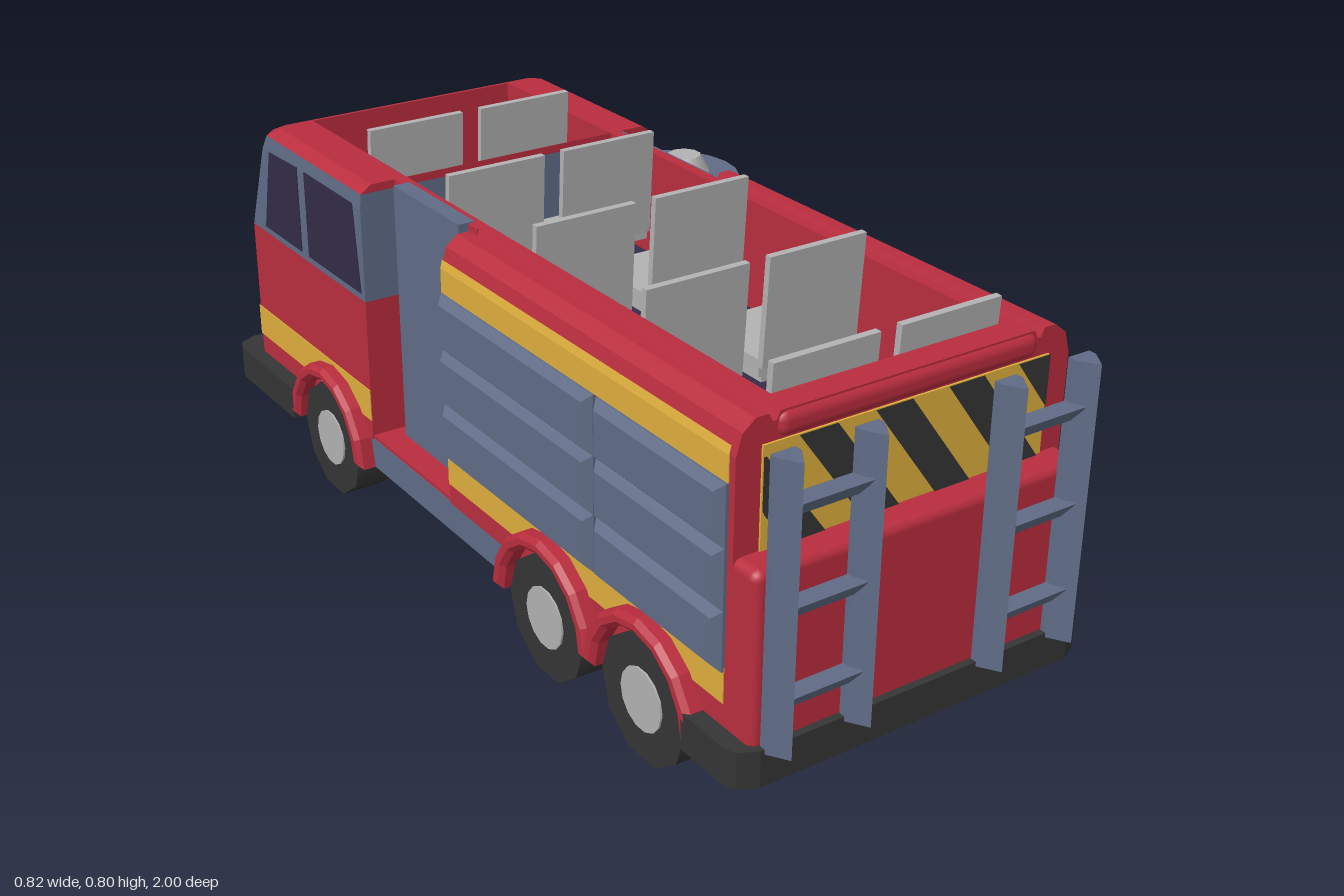
import * as THREE from 'three';
import { RoundedBoxGeometry } from 'three/addons/geometries/RoundedBoxGeometry.js';
import { toCreasedNormals } from 'three/addons/utils/BufferGeometryUtils.js';

const paint = (name, color) => {
  const m = new THREE.MeshStandardMaterial({ color });
  m.name = name;
  return m;
};
const V2 = (pts) => pts.map(([x, y]) => new THREE.Vector2(x, y));

export function createModel() {
  const red = paint('red', 0xb92d3e), yellow = paint('yellow', 0xdfaf3d);
  const steel = paint('steelBlue', 0x606c86), black = paint('black', 0x353535);
  const glass = paint('darkPurple', 0x342c47), silver = paint('silver', 0xb2b2b2);
  const canvas = paint('hoseCanvas', 0xdcc8a2);

  const truck = new THREE.Group();
  truck.name = 'fireTruck';
  const root = new THREE.Group();
  root.name = 'truckParts';
  root.position.x = -0.02;
  truck.add(root);

  const add = (name, geo, mat, x = 0, y = 0, z = 0) => {
    const m = new THREE.Mesh(geo, mat);
    m.name = name;
    m.position.set(x, y, z);
    root.add(m);
    return m;
  };
  // box given by its limits
  const box = (name, mat, x0, x1, y0, y1, z0, z1, r = 0) => add(name,
    r ? new RoundedBoxGeometry(x1 - x0, y1 - y0, z1 - z0, 2, r) : new THREE.BoxGeometry(x1 - x0, y1 - y0, z1 - z0),
    mat, (x0 + x1) / 2, (y0 + y1) / 2, (z0 + z1) / 2);
  const extrude = (pts, depth, bevel = 0) => new THREE.ExtrudeGeometry(new THREE.Shape(V2(pts)), {
    depth, bevelEnabled: bevel > 0, bevelSize: bevel, bevelThickness: bevel, bevelOffset: -bevel, bevelSegments: 1,
  });
  // [z, y] outline extruded sideways, outward from x
  const sidePanel = (name, mat, side, x, pts, depth, bevel = 0) => {
    const g = extrude(pts.map(([z, y]) => [-side * z, y]), depth, bevel);
    return add(name, g.rotateY(side * Math.PI / 2), mat, side * x);
  };
  const rect = (a, b, c, d) => [[a, c], [b, c], [b, d], [a, d]];
  // [x, z] outline raised upward
  const slab = (name, mat, pts, y0, y1) =>
    add(name, extrude(pts.map(([x, z]) => [x, -z]), y1 - y0).rotateX(-Math.PI / 2), mat, 0, y0);
  // triangles from quads, with flat normals
  const quads = (list) => {
    const p = [];
    for (const [a, b, c, d] of list) p.push(...a, ...b, ...c, ...a, ...c, ...d);
    const g = new THREE.BufferGeometry();
    g.setAttribute('position', new THREE.Float32BufferAttribute(p, 3));
    g.computeVertexNormals();
    return g;
  };
  const loft = (rings) => {
    const list = [];
    for (let k = 0; k + 1 < rings.length; k++) {
      const lo = rings[k], hi = rings[k + 1], n = lo.length;
      for (let i = 0; i < n; i++) list.push([lo[i], lo[(i + 1) % n], hi[(i + 1) % n], hi[i]]);
    }
    return quads(list);
  };

  // ---- Rear body: side walls with a grooved top, rear wall, rear locker ----
  const wall = [[0.247, 0.185], [0.355, 0.185], [0.355, 0.69], [0.343, 0.73], [0.318, 0.75], [0.292, 0.75],
    [0.285, 0.735], [0.277, 0.735], [0.27, 0.75], [0.247, 0.75]];
  for (const s of [-1, 1]) {
    add('rearSideWall', extrude(wall.map(([x, y]) => [s * x, y]), 0.925), red, 0, 0, -0.04);
    box('middleWall', red, s < 0 ? -0.275 : 0.247, s < 0 ? -0.247 : 0.27, 0.185, 0.75, -0.37, -0.04);
  }
  sidePanel('leftRecessPanel', steel, -1, 0.26, rect(-0.335, -0.075, 0.195, 0.752), 0.036);
  sidePanel('rightRecessPanel', steel, 1, 0.265, rect(-0.369, -0.041, 0.195, 0.749), 0.011);
  box('rearWall', red, -0.25, 0.25, 0.185, 0.75, 0.83, 0.885);
  box('rearLocker', red, -0.355, 0.355, 0.16, 0.51, 0.8, 0.945, 0.018);
  box('rearRoofBar', red, -0.277, 0.277, 0.7, 0.749, 0.84, 0.895, 0.02);

  // ---- Cab ----
  const ring = (y, hw, zf, c) => [[hw, -0.37], [hw, zf + c], [hw - c, zf], [c - hw, zf], [-hw, zf + c], [-hw, -0.37]]
    .map(([x, z]) => [x, y, z]);
  const cabTop = ring(0.75, 0.328, -0.805, 0.02), eaves = ring(0.733, 0.352, -0.84, 0.03);
  add('cabLower', loft([ring(0.185, 0.355, -0.935, 0.025), ring(0.5, 0.355, -0.935, 0.025)]), red);
  add('cabWindowFrame', loft([ring(0.5, 0.355, -0.935, 0.025), ring(0.7, 0.355, -0.865, 0.035), eaves]), steel);
  add('cabRoofEdge', loft([eaves, cabTop]), red);
  const roof = new THREE.Shape(V2(cabTop.map(([x, , z]) => [x, -z])));
  roof.holes.push(new THREE.Path(V2([[-0.247, 0.371], [-0.247, 0.8], [0.247, 0.8], [0.247, 0.371]])));
  add('cabRoof', new THREE.ShapeGeometry(roof).rotateX(-Math.PI / 2), red, 0, 0.75);
  box('cabInnerFront', red, -0.26, 0.26, 0.5, 0.749, -0.804, -0.8);
  const windshieldZ = (y) => -0.938 + (y - 0.5) * 0.35;
  for (const s of [-1, 1]) {
    box('cabInnerSide', red, s < 0 ? -0.26 : 0.247, s < 0 ? -0.247 : 0.26, 0.45, 0.749, -0.8, -0.37);
    sidePanel('doorWindow', glass, s, 0.353, [[-0.385, 0.515], [-0.625, 0.515], [-0.625, 0.705], [-0.405, 0.705]], 0.004);
    sidePanel('quarterWindow', glass, s, 0.353, [[-0.66, 0.515], [-0.84, 0.515], [-0.795, 0.7], [-0.66, 0.705]], 0.004);
    const [x0, x1] = s < 0 ? [-0.32, -0.022] : [0.022, 0.32];
    const at = (x, y) => [x, y, windshieldZ(y)];
    add('windshield', quads([[at(x0, 0.515), at(x0, 0.69), at(x1, 0.69), at(x1, 0.515)]]), glass);
    // stacked headlights
    for (const y of [0.242, 0.319])
      box('headlight', yellow, s * 0.265 - 0.045, s * 0.265 + 0.045, y, y + 0.074, -0.968, -0.92, 0.014);
  }
  for (const y of [0.24, 0.313, 0.386]) box('grilleBar', glass, -0.185, 0.185, y, y + 0.055, -0.941, -0.932);

  // ---- Side stripes, shutters, wheel arches, wheels ----
  const arch = [];
  for (let i = 0; i <= 8; i++) arch.push([Math.cos(i * Math.PI / 8) * 0.17, Math.sin(i * Math.PI / 8) * 0.172]);
  for (let i = 8; i >= 0; i--) arch.push([Math.cos(i * Math.PI / 8) * 0.134, Math.sin(i * Math.PI / 8) * 0.14]);
  // tire is tread and outer face only, open towards the axle
  const tire = toCreasedNormals(new THREE.LatheGeometry(
    V2([[0.127, -0.045], [0.127, 0.045], [0.055, 0.045]]), 10).rotateZ(-Math.PI / 2), 0.8);
  const hub = new THREE.CylinderGeometry(0.062, 0.062, 0.012, 14).rotateZ(Math.PI / 2);
  for (const s of [-1, 1]) {
    sidePanel('upperStripe', yellow, s, 0.353, rect(-0.04, 0.87, 0.64, 0.69), 0.004);
    // upper edge of the stripe follows the sloping shoulder
    const slope = [[0.3565, 0.69], [0.3525, 0.706]].map(([x, y]) => [[s * x, y, -0.04], [s * x, y, 0.87]]);
    const [[a, b], [d, c]] = slope;
    add('upperStripeEdge', quads([s > 0 ? [b, a, d, c] : [a, b, c, d]]), yellow);
    sidePanel('lowerStripe', yellow, s, 0.353, rect(-0.04, 0.87, 0.23, 0.3), 0.004);
    sidePanel('cabStripe', yellow, s, 0.353, rect(-0.37, -0.912, 0.23, 0.3), 0.004);
    for (const [z0, z1] of [[-0.035, 0.49], [0.5, 0.87]])
      for (let i = 0; i < 3; i++)
        sidePanel('lockerShutter', steel, s, 0.355, rect(z0, z1, 0.292 + i * 0.116, 0.408 + i * 0.116), 0.006, 0.015);
    for (const z of [0.657, 0.34, -0.54]) {
      sidePanel('wheelArch', red, s, 0.35, arch.map(([p, q]) => [p, q + 0.12]), 0.03, 0.01).position.z = z;
      add('tire', tire, black, s * 0.325, 0.121, z).rotation.y = s > 0 ? 0 : Math.PI;
      add('wheelHub', hub, silver, s * 0.368, 0.123, z);
    }
  }

  // ---- Bumpers (hollow rims under a plate) and underside ----
  const bumper = (zIn, zOut, c, hw) => {
    const d = Math.sign(zOut) * c;
    return [[-hw, zIn], [-hw, zOut - d], [-hw + c * 0.2, zOut - d * 0.4], [c - hw, zOut],
      [hw - c, zOut], [hw - c * 0.2, zOut - d * 0.4], [hw, zOut - d], [hw, zIn]];
  };
  for (const [name, zIn, zOut, c] of [['frontBumper', -0.69, -1, 0.05], ['rearBumper', 0.79, 0.96, 0.045]]) {
    const outer = bumper(zIn, zOut, c, 0.39);
    const inner = bumper(zIn, zOut - Math.sign(zOut) * 0.02, c, 0.37);
    slab(name + 'Rim', black, [...outer, ...inner.reverse()], 0.112, 0.17);
    slab(name + 'Plate', black, outer, 0.165, 0.185);
  }
  box('frontUnderside', steel, -0.352, 0.352, 0.17, 0.186, -0.69, -0.42);
  box('rearUnderside', steel, -0.352, 0.352, 0.17, 0.186, 0.22, 0.79);
  box('centreFloor', red, -0.335, 0.335, 0.122, 0.195, -0.42, 0.22);
  box('ledge', red, -0.352, 0.352, 0.185, 0.195, -0.4, 0);
  for (const s of [-1, 1]) sidePanel('sill', steel, s, 0.333, rect(-0.42, 0.22, 0.12, 0.187), 0.02);

  // ---- Open seating deck ----
  box('deckFloor', glass, -0.25, 0.25, 0.5, 0.525, -0.802, 0.835);
  for (const z of [-0.55, -0.22, 0.105, 0.46, 0.812])
    for (const x of [-0.13, 0.135]) {
      box('seatCushion', silver, x - 0.11, x + 0.11, 0.555, 0.59, z - 0.205, z - 0.01);
      box('seatBase', silver, x - 0.08, x + 0.08, 0.52, 0.56, z - 0.17, z - 0.04);
      box('seatBack', silver, x - 0.11, x + 0.11, 0.575, 0.799, z - 0.007, z + 0.007).rotation.x = 0.06;
    }

  // ---- Hose reel: outer half, set against the recess panel ----
  class HalfTurn extends THREE.Curve {
    getPoint(t, out = new THREE.Vector3()) {
      const a = (t - 0.5) * Math.PI;
      return out.set(Math.cos(a) * 0.105, (0.5 - t) * 0.05, Math.sin(a) * 0.105);
    }
  }
  const rx = 0.272, rz = -0.205;
  const halfTurn = new THREE.TubeGeometry(new HalfTurn(), 14, 0.049, 10);
  for (let i = 0; i < 4; i++) add('hoseTurn', halfTurn, canvas, rx, 0.36 + i * 0.085, rz);
  const halfDisc = (name, mat, r, y0, y1) =>
    add(name, new THREE.CylinderGeometry(r, r, y1 - y0, 10, 1, false, 0, Math.PI), mat, rx, (y0 + y1) / 2, rz);
  halfDisc('reelCore', black, 0.11, 0.3, 0.68);
  halfDisc('reelTopDisc', steel, 0.157, 0.668, 0.7);
  halfDisc('reelTopSeal', black, 0.13, 0.645, 0.67);
  halfDisc('reelBaseDisc', steel, 0.157, 0.27, 0.302);
  halfDisc('reelBaseSeal', black, 0.13, 0.3, 0.325);
  add('reelKnob', new THREE.CylinderGeometry(0.035, 0.055, 0.036, 10), silver, 0.322, 0.718, rz);

  // ---- Hazard panel on the rear wall ----
  box('hazardPanel', yellow, -0.305, 0.305, 0.51, 0.7, 0.882, 0.889);
  const clamp = (x) => Math.max(-0.305, Math.min(0.305, x));
  for (let i = -2; i < 3; i++) {
    const top = -0.08 + i * 0.156, left = [], right = [];
    for (let k = 0; k <= 20; k++) {
      const x = top + 0.14 * k / 20, y = 0.7 - 0.19 * k / 20;
      if (x + 0.078 <= -0.305 || x >= 0.305) continue;
      left.push([clamp(x), y]);
      right.unshift([clamp(x + 0.078), y]);
    }
    add('hazardStripe', new THREE.ShapeGeometry(new THREE.Shape(V2([...left, ...right]))), black, 0, 0, 0.892);
  }

  // ---- Rear ladders with wedge-shaped rails and steps ----
  for (const cx of [-0.23, 0.23]) {
    for (const s of [-1, 1]) {
      const x = cx + s * 0.083;
      slab('ladderRail', steel, [[x - 0.024, 0.947], [x + 0.024, 0.947], [x + 0.024, 0.963], [x, 1],
        [x - 0.024, 0.963]], 0.177, 0.72);
    }
    for (const y of [0.27, 0.44, 0.625])
      sidePanel('ladderRung', steel, 1, cx - 0.07, [[0.95, y + 0.016], [0.988, y + 0.016], [0.965, y - 0.016], [0.95, y - 0.016]], 0.14);
  }
  return truck;
}
